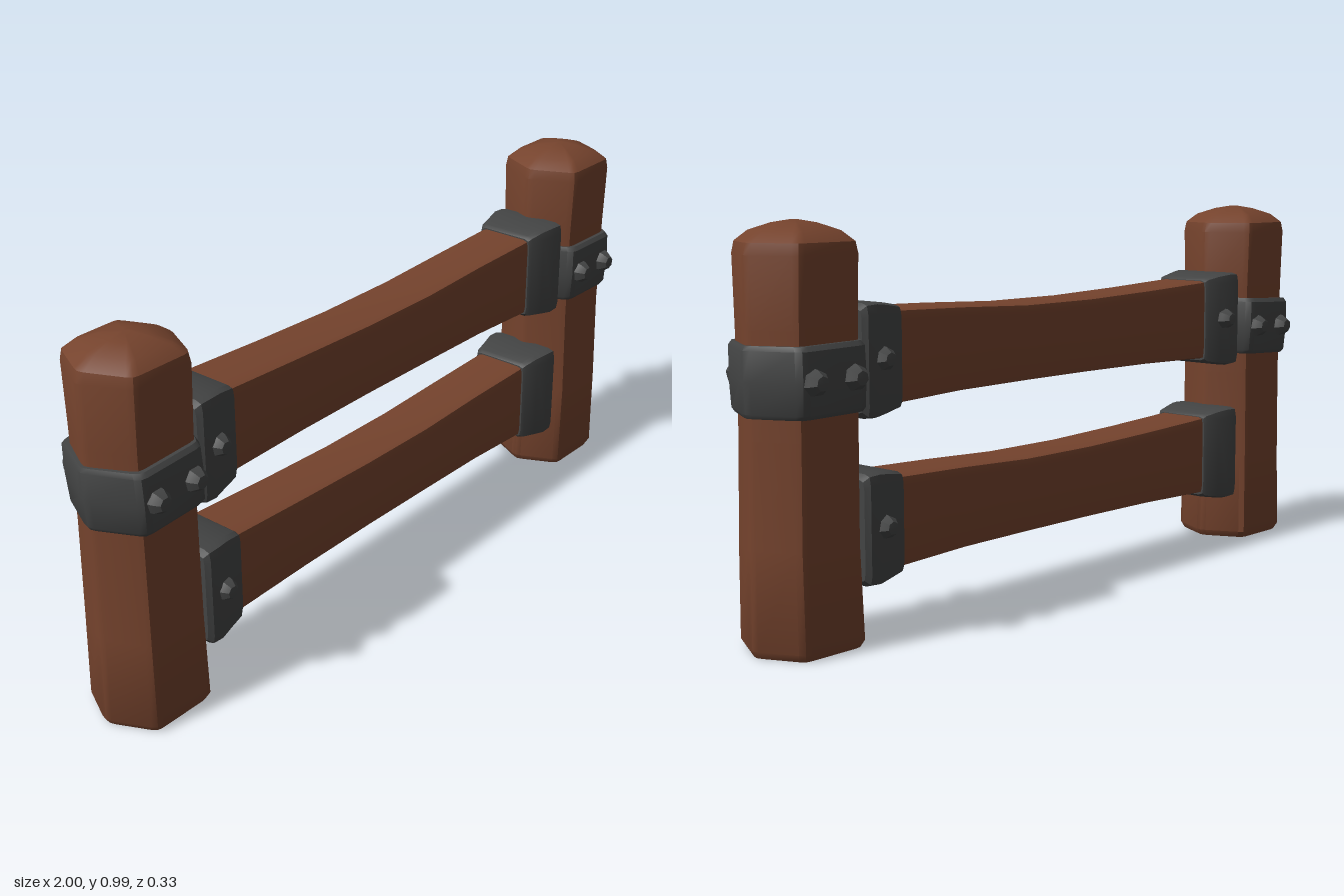
import * as THREE from 'three';
import { toCreasedNormals } from 'three/addons/utils/BufferGeometryUtils.js';

const wood = new THREE.MeshStandardMaterial({ color: 0x75432d });
wood.name = 'reddish brown wood';
const iron = new THREE.MeshStandardMaterial({ color: 0x434444 });
iron.name = 'dark iron';

// Polygon outline with each corner softened into three points
function soften(corners, r) {
  const out = [];
  corners.forEach((p, i) => {
    const n = corners.length;
    const toward = (q) => {
      const d = Math.hypot(q[0] - p[0], q[1] - p[1]);
      return [p[0] + (q[0] - p[0]) * r / d, p[1] + (q[1] - p[1]) * r / d];
    };
    const a = toward(corners[(i + n - 1) % n]);
    const b = toward(corners[(i + 1) % n]);
    const mid = [0, 1].map((k) => p[k] * 0.6 + (a[k] + b[k]) * 0.2);
    out.push(a, mid, b);
  });
  return out;
}

// Closed loft: rings are [w, scaleU, scaleV, offsetU, offsetV]; place maps (u, v, w) to a point
function loft(section, rings, place) {
  const n = section.length, pos = [], idx = [];
  for (const [w, su, sv, ou = 0, ov = 0] of rings) {
    for (const [u, v] of section) pos.push(...place(u * su + ou, v * sv + ov, w));
  }
  const ends = [rings[0], rings[rings.length - 1]];
  for (const [w, , , ou = 0, ov = 0] of ends) pos.push(...place(ou, ov, w));
  const low = rings.length * n, last = (rings.length - 1) * n;
  for (let j = 0; j < n; j++) {
    const k = (j + 1) % n;
    for (let i = 0; i < last; i += n) {
      idx.push(i + j, i + k, i + n + k, i + j, i + n + k, i + n + j);
    }
    idx.push(low, k, j, low + 1, last + j, last + k);
  }
  const g = new THREE.BufferGeometry();
  g.setAttribute('position', new THREE.Float32BufferAttribute(pos, 3));
  g.setIndex(idx);
  return toCreasedNormals(g, 0.6);
}

const upright = (u, v, w) => [v, w, u]; // axis y, u = z, v = x
const lengthwise = (u, v, w) => [w, u, v]; // axis x, u = y, v = z

// Six-sided post outline with points toward +x and -x
const hexagon = soften([
  [0, 0.15], [-0.122, 0.09], [-0.122, -0.09], [0, -0.15], [0.122, -0.09], [0.122, 0.09],
], 0.018);
const rectangle = soften([[1, 1], [-1, 1], [-1, -1], [1, -1]], 0.2);

function mesh(name, geometry, material, parent) {
  const m = new THREE.Mesh(geometry, material);
  m.name = name;
  parent.add(m);
  return m;
}

// Domed iron bolt facing +z or -z
function bolt(parent, x, y, z, size = 1) {
  const profile = [[0.036, -0.008], [0.033, 0.012], [0.019, 0.032], [0, 0.035]];
  const g = new THREE.LatheGeometry(profile.map(([r, h]) => new THREE.Vector2(r * size, h * size)), 7);
  const m = mesh('bolt', toCreasedNormals(g, 0.5), iron, parent);
  m.rotation.x = Math.sign(z) * Math.PI / 2;
  m.position.set(x, y, z);
}

// Post with worn sides and a rounded top, wrapped by a bolted band
function post(side) {
  const group = new THREE.Group();
  group.name = side < 0 ? 'rightPost' : 'leftPost';
  mesh('postWood', loft(hexagon, [
    [0, 0.92, 0.92],
    [0.018, 1, 1],
    [0.25, 0.97, 0.96, 0.002, side * 0.003],
    [0.5, 0.95, 0.95],
    [0.75, 0.96, 0.97],
    [0.915, 1, 0.98],
    [0.942, 0.97, 0.93],
    [0.966, 0.76, 0.7],
    [0.983, 0.38, 0.36],
    [0.99, 0.08, 0.08],
  ], upright), wood, group);

  const band = new THREE.Group();
  band.name = 'postBand';
  mesh('bandIron', loft(hexagon, [
    [-0.083, 1.03, 0.99],
    [-0.073, 1.09, 1.03],
    [0, 1.13, 1.045],
    [0.07, 1.11, 1.03],
    [0.081, 1.04, 0.99],
  ], upright), iron, band);
  for (const z of [-0.134, 0.134]) {
    for (const x of [-0.055, 0.06]) bolt(band, x, 0, z, 0.92);
  }
  band.position.y = 0.637;
  band.rotation.z = side < 0 ? 0.05 : -0.015;
  group.add(band);

  group.position.x = side * 0.845;
  return group;
}

// Rail that thins toward the middle, with an iron sleeve at each end
function rail(name, y, boltSpots) {
  const group = new THREE.Group();
  group.name = name;
  const stations = [
    [-0.74, 0.118, 0.08], [-0.58, 0.112, 0.079, 0.002], [-0.35, 0.104, 0.077],
    [-0.1, 0.099, 0.076, -0.003], [0.15, 0.099, 0.077, -0.003],
    [0.38, 0.105, 0.077, 0.001], [0.58, 0.112, 0.079], [0.74, 0.118, 0.08],
  ];
  mesh('railWood', loft(rectangle, stations, lengthwise), wood, group);
  for (const side of [-1, 1]) {
    const rings = [
      [0.597, 0.116, 0.084], [0.606, 0.123, 0.09], [0.65, 0.131, 0.098],
      [0.69, 0.136, 0.108], [0.722, 0.134, 0.108], [0.734, 0.122, 0.098],
    ].map(([w, ...rest]) => [w * side, ...rest]).sort((a, b) => a[0] - b[0]);
    mesh('railSleeve', loft(rectangle, rings, lengthwise), iron, group);
  }
  for (const [x, z] of boltSpots) bolt(group, x, 0.003, z, 0.85);
  group.position.y = y;
  return group;
}

export function createModel() {
  const model = new THREE.Group();
  model.name = 'woodenFence';
  model.add(post(-1), post(1));
  model.add(rail('upperRail', 0.664, [[-0.67, 0.1], [-0.67, -0.1], [0.67, -0.1]]));
  model.add(rail('lowerRail', 0.266, [[-0.67, 0.1], [0.67, -0.1]]));
  return model;
}
